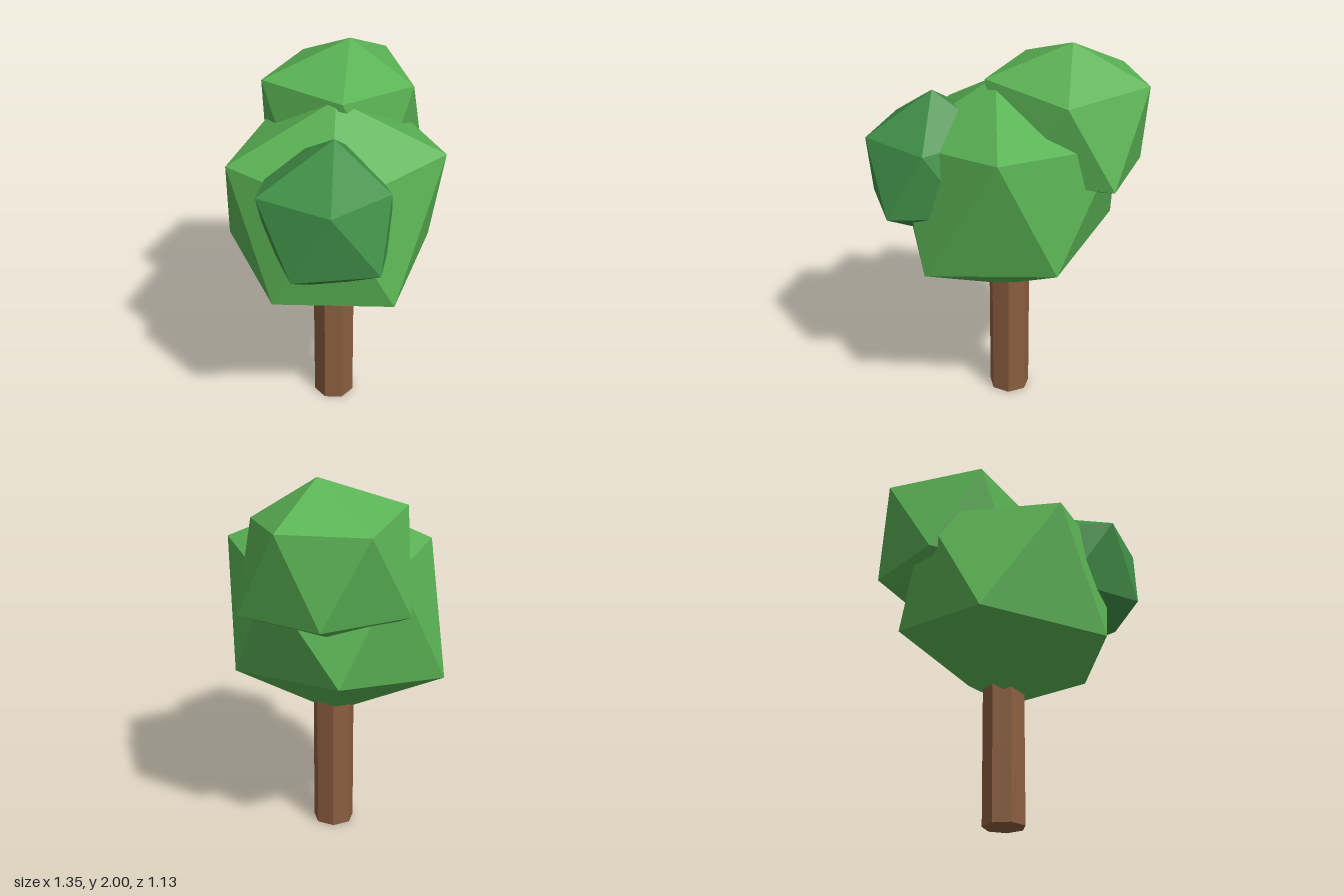
import * as THREE from 'three';
import { ConvexGeometry } from 'three/addons/geometries/ConvexGeometry.js';

const material = (name, color) => {
  const m = new THREE.MeshStandardMaterial({ color });
  m.name = name;
  return m;
};

export function createModel() {
  const tree = new THREE.Group();
  tree.name = 'tree';
  const bark = material('bark brown', 0x8b5e3f);
  const leaf = material('leaf green', 0x5ab254);
  const darkLeaf = material('dark leaf green', 0x419047);

  const add = (name, geometry, mat) => {
    const mesh = new THREE.Mesh(geometry, mat);
    mesh.name = name;
    tree.add(mesh);
    return mesh;
  };

  // Faceted clump: a slightly irregular icosahedron of top, two rings of five, bottom
  const clump = (name, mat, top, upperRing, lowerRing, bottom) => {
    const points = [top, ...upperRing, ...lowerRing, bottom].map((p) => new THREE.Vector3(...p));
    return add(name, new ConvexGeometry(points), mat);
  };

  // Seven-sided trunk, its top hidden in the foliage
  const trunkGeometry = new THREE.CylinderGeometry(0.11, 0.11, 0.9, 7, 1, false, 0.39).toNonIndexed();
  trunkGeometry.computeVertexNormals();
  add('trunk', trunkGeometry, bark).position.set(-0.01, 0.45, 0);

  // Large central clump
  clump('mainFoliage', leaf,
    [-0.06, 1.83, 0.05],
    [[0.18, 1.585, 0.54], [0.56, 1.54, -0.01], [0.18, 1.57, -0.5], [-0.5, 1.55, -0.29], [-0.48, 1.51, 0.33]],
    [[-0.23, 0.91, 0.53], [0.4, 0.95, 0.33], [0.43, 1.02, -0.34], [-0.19, 0.925, -0.57], [-0.58, 0.92, 0.04]],
    [-0.03, 0.64, 0.01]);

  // Upper clump on the left
  clump('upperFoliage', leaf,
    [0.28, 2, -0.11],
    [[0.39, 1.78, 0.21], [0.67, 1.82, -0.15], [0.41, 1.8, -0.51], [-0.09, 1.83, -0.39], [-0.09, 1.83, 0.11]],
    [[0.61, 1.36, 0.13], [0.58, 1.36, -0.34], [0.12, 1.345, -0.55], [-0.15, 1.35, -0.14], [0.11, 1.37, 0.22]],
    [0.24, 1.18, -0.17]);

  // Small darker clump at the front right
  clump('sideFoliage', darkLeaf,
    [-0.32, 1.78, 0.23],
    [[-0.65, 1.55, 0.02], [-0.6, 1.55, 0.415], [-0.235, 1.54, 0.5], [0, 1.56, 0.16], [-0.27, 1.54, -0.165]],
    [[-0.68, 1.18, 0.24], [-0.41, 1.2, 0.565], [-0.03, 1.2, 0.38], [-0.08, 1.19, -0.015], [-0.445, 1.2, -0.1]],
    [-0.36, 0.97, 0.18]);

  return tree;
}
